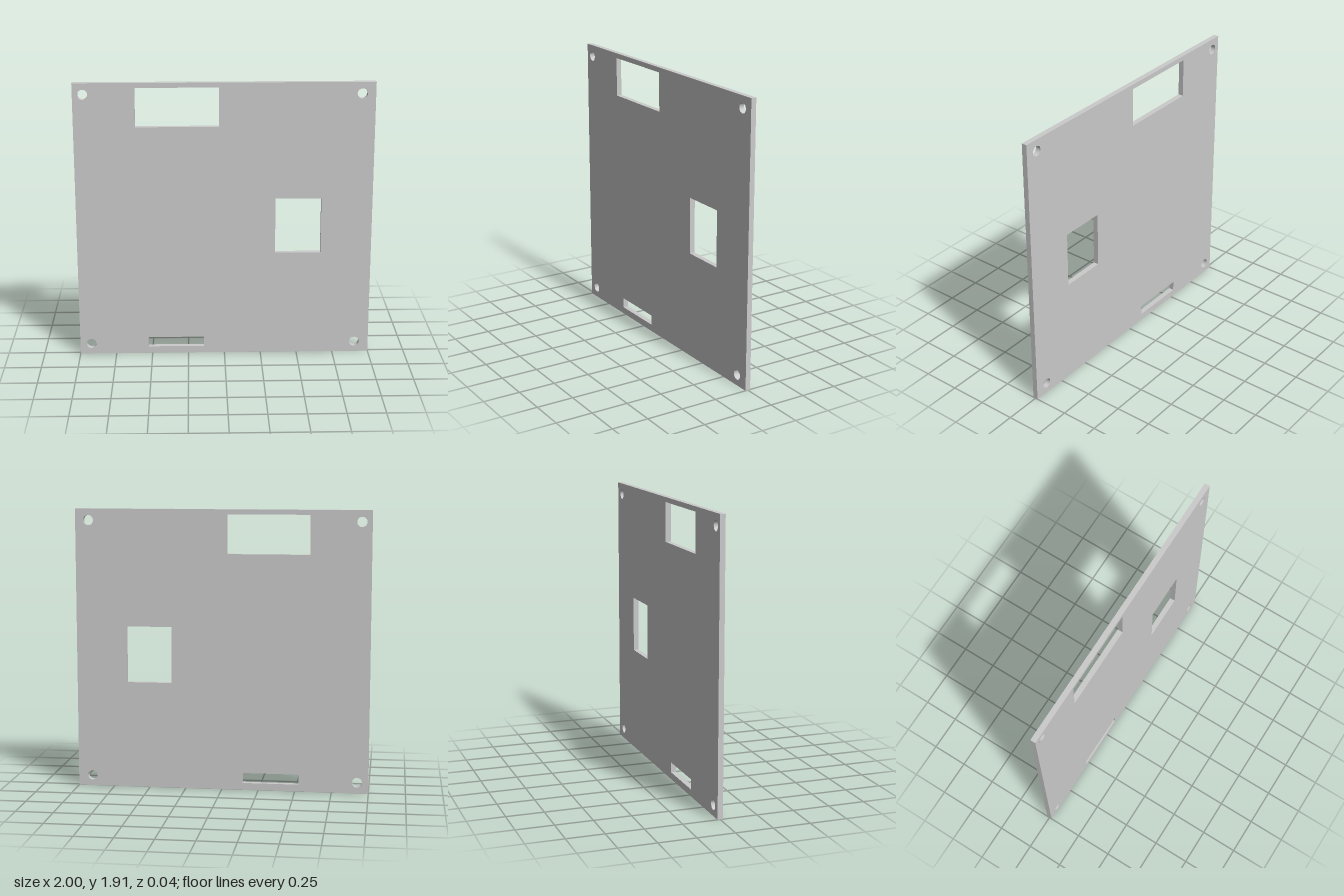
import * as THREE from 'three';

const HEIGHT = 1.914;
const THICKNESS = 0.036;
const HOLE_RADIUS = 0.034;

// Rectangular outline, traced counter-clockwise
function rectangle(PathType, x0, y0, x1, y1) {
  const path = new PathType();
  path.moveTo(x0, y0);
  path.lineTo(x1, y0);
  path.lineTo(x1, y1);
  path.lineTo(x0, y1);
  path.closePath();
  return path;
}

export function createModel() {
  const group = new THREE.Group();
  group.name = 'mountingPanel';

  const outline = rectangle(THREE.Shape, -1, 0, 1, HEIGHT);

  // Cutouts: upper window, side window, lower slot
  const cutouts = [
    [-0.591, 1.616, -0.035, 1.881],
    [0.345, 0.732, 0.655, 1.117],
    [-0.527, 0.048, -0.142, 0.118],
  ];
  for (const c of cutouts) outline.holes.push(rectangle(THREE.Path, ...c));

  // Screw holes near the corners
  const screws = [[-0.932, 1.836], [0.911, 1.836], [-0.923, 0.074], [0.903, 0.074]];
  for (const [x, y] of screws) {
    outline.holes.push(new THREE.Path().absarc(x, y, HOLE_RADIUS, 0, Math.PI * 2, false));
  }

  // Flat plate, centred in depth
  const geometry = new THREE.ExtrudeGeometry(outline, {
    depth: THICKNESS, bevelEnabled: false, curveSegments: 32,
  });
  geometry.translate(0, 0, -THICKNESS / 2);

  const plate = new THREE.Mesh(geometry, new THREE.MeshStandardMaterial({ color: 0xcccccc }));
  plate.name = 'plate';
  group.add(plate);
  return group;
}
